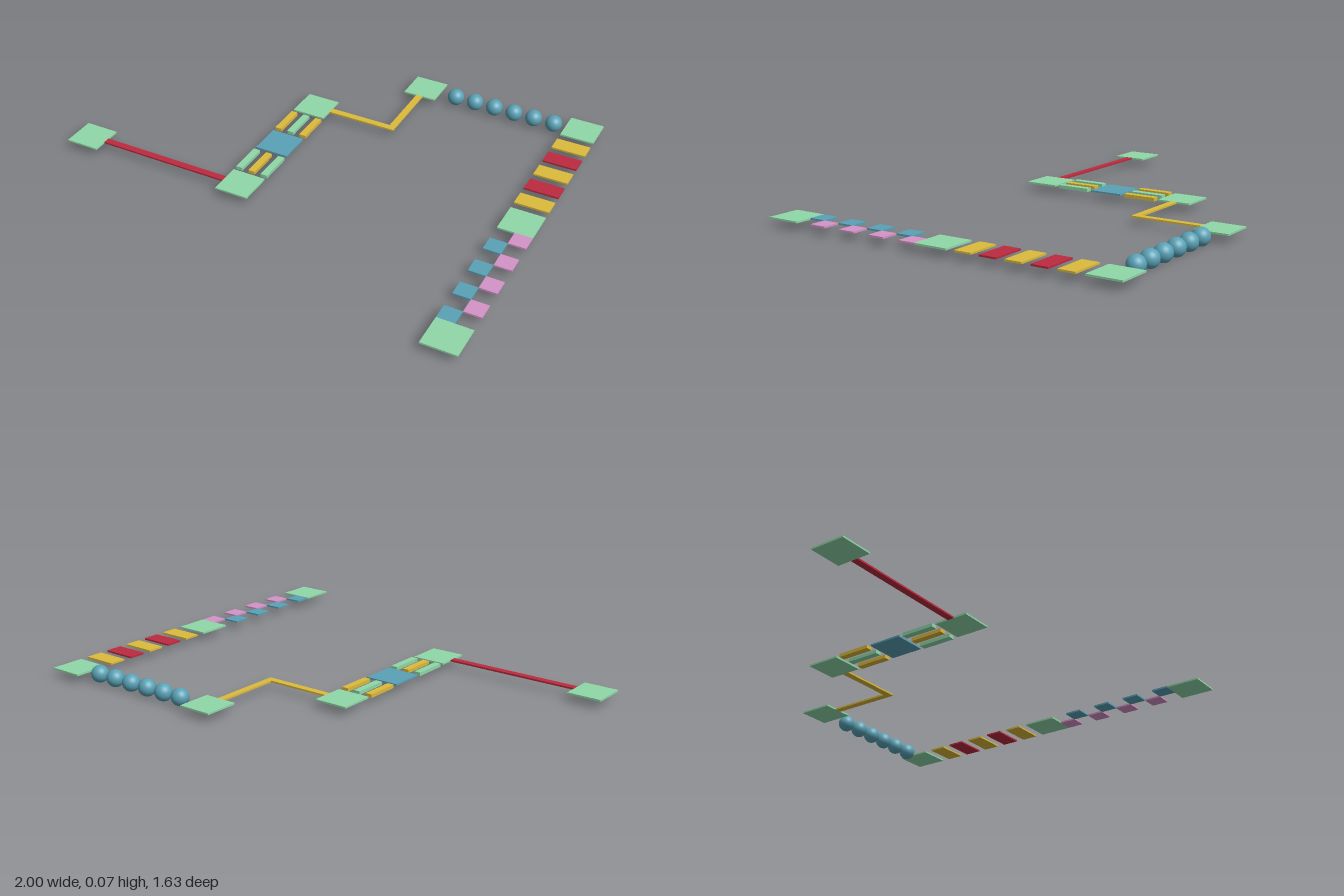
import * as THREE from 'three';

const U = 1 / 27; // one layout unit; the course is 54 units long
const mat = (color) => new THREE.MeshStandardMaterial({ color });

export function createModel() {
  const course = new THREE.Group();
  course.name = 'obstacleCourse';
  const green = mat(0x90d8a8), blue = mat(0x5aa2b6), yellow = mat(0xdcbb3c);
  const red = mat(0xbd2a3e), pink = mat(0xd594c8);

  const place = (name, geometry, material, x, z) => {
    const mesh = new THREE.Mesh(geometry, material);
    mesh.name = name;
    mesh.position.set(x * U, U, z * U);
    course.add(mesh);
  };
  // Flat slab, sizes and centre in layout units
  const slab = (name, material, x, z, w, d, h = 0.2) =>
    place(name, new THREE.BoxGeometry(w * U, h * U, d * U), material, x, z);

  // Square platforms
  [[-25, 8], [-5, 8], [-5, -10], [5, -20], [25, -20], [25, 0], [25, 20]]
    .forEach(([x, z], i) => slab(`platform${i + 1}`, green, x, z, 4, 4));
  slab('middlePlatform', blue, -5, -1, 4, 4);

  // Straight balance beam
  slab('balanceBeam', red, -15, 8, 16, 0.8);

  // Two sets of three parallel bars, alternating colours
  for (let i = -1; i <= 1; i++) {
    slab('nearBar', i ? green : yellow, -5 + i * 1.6, 3.5, 0.8, 4, 0.4);
    slab('farBar', i ? yellow : green, -5 + i * 1.6, -5.5, 0.8, 4, 0.4);
  }

  // L-shaped beam in one piece
  const bend = new THREE.Shape([
    [-3, 9.6], [5.4, 9.6], [5.4, 18], [4.6, 18], [4.6, 10.4], [-3, 10.4],
  ].map(([x, y]) => new THREE.Vector2(x * U, y * U)));
  const bendGeometry = new THREE.ExtrudeGeometry(bend, { depth: 0.2 * U, bevelEnabled: false });
  bendGeometry.translate(0, 0, -0.1 * U).rotateX(-Math.PI / 2);
  place('cornerBeam', bendGeometry, yellow, 0, 0);

  // Row of balls
  const ball = new THREE.SphereGeometry(U, 32, 20);
  for (let i = 0; i < 6; i++) place('ball', ball, blue, 9 + 2.5 * i, -20);

  // Stepping slabs
  for (let i = 0; i < 5; i++) slab('steppingSlab', i % 2 ? red : yellow, 25, -16 + 3 * i, 4, 2);

  // Staggered small steps
  for (let i = 0; i < 8; i++) {
    slab('smallStep', i % 2 ? blue : pink, i % 2 ? 24 : 26, 3 + 2 * i, 2, 2);
  }
  return course;
}
